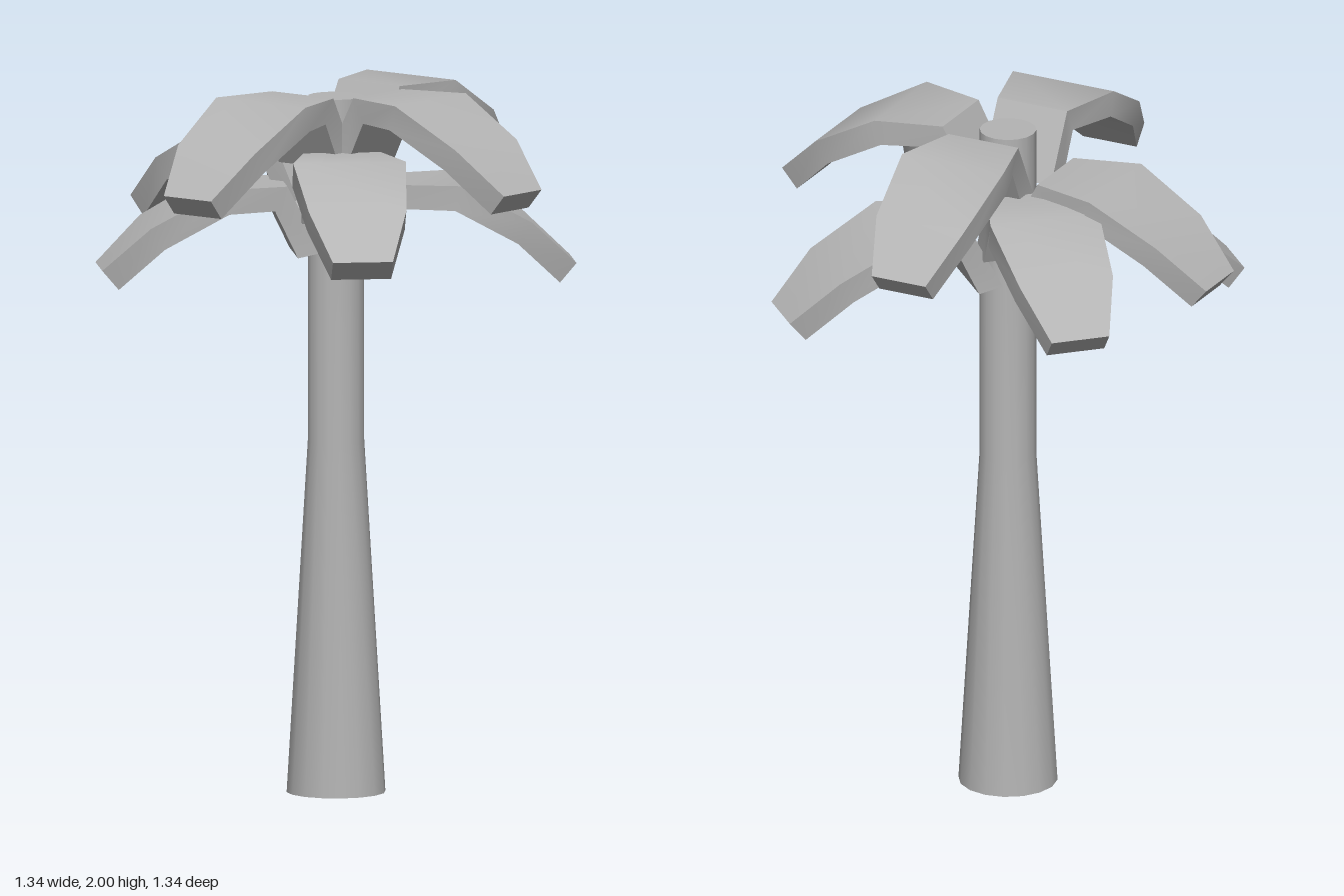
import * as THREE from 'three';
import { toCreasedNormals } from 'three/addons/utils/BufferGeometryUtils.js';

// Leaf cross-sections from stem to tip: half width, top z, top y, underside z, underside y
const SECTIONS = [
  [0.11, 0.05, 1.81, 0.12, 1.795],
  [0.11, 0.15, 2.0, 0.185, 1.93],
  [0.16, 0.34, 2.0, 0.32, 1.93],
  [0.138, 0.54, 1.89, 0.5, 1.83],
  [0.085, 0.672, 1.765, 0.625, 1.71],
];

// Curved slab running along +z, lofted through the sections
function leafGeometry() {
  const positions = [];
  const index = [];
  for (const [w, tz, ty, bz, by] of SECTIONS) {
    positions.push(-w, ty, tz, w, ty, tz, w, by, bz, -w, by, bz);
  }
  const last = (SECTIONS.length - 1) * 4;
  for (let i = 0; i < last; i += 4) {
    for (let k = 0; k < 4; k++) {
      const a = i + k;
      const b = i + ((k + 1) % 4);
      index.push(a, a + 4, b + 4, a, b + 4, b);
    }
  }
  // stem and tip ends
  index.push(0, 1, 2, 0, 2, 3);
  index.push(last, last + 2, last + 1, last, last + 3, last + 2);
  const geometry = new THREE.BufferGeometry();
  geometry.setAttribute('position', new THREE.Float32BufferAttribute(positions, 3));
  geometry.setIndex(index);
  return toCreasedNormals(geometry, 0.7);
}

// Tapered lower trunk, straight upper trunk, closed at both ends
function trunkGeometry() {
  const profile = [[0, 0], [0.14, 0], [0.08, 1], [0.08, 1.98], [0, 1.98]];
  const points = profile.map(([r, y]) => new THREE.Vector2(r, y));
  return toCreasedNormals(new THREE.LatheGeometry(points, 16), 0.7);
}

export function createModel() {
  const palm = new THREE.Group();
  palm.name = 'palmTree';
  const grey = new THREE.MeshStandardMaterial({ color: 0xb4b4b4 });
  grey.name = 'plain grey';

  const trunk = new THREE.Mesh(trunkGeometry(), grey);
  trunk.name = 'trunk';
  palm.add(trunk);

  // Eight leaves around the crown, each hung at its own height, starting at the front
  const crown = new THREE.Group();
  crown.name = 'crown';
  const leaf = leafGeometry();
  const drops = [0, 0.16, 0, 0.26, 0, 0.16, 0.12, 0.26];
  drops.forEach((drop, i) => {
    const mesh = new THREE.Mesh(leaf, grey);
    mesh.name = `leaf${i + 1}`;
    mesh.rotation.y = (i * Math.PI) / 4;
    mesh.position.y = -drop;
    crown.add(mesh);
  });
  palm.add(crown);
  return palm;
}
